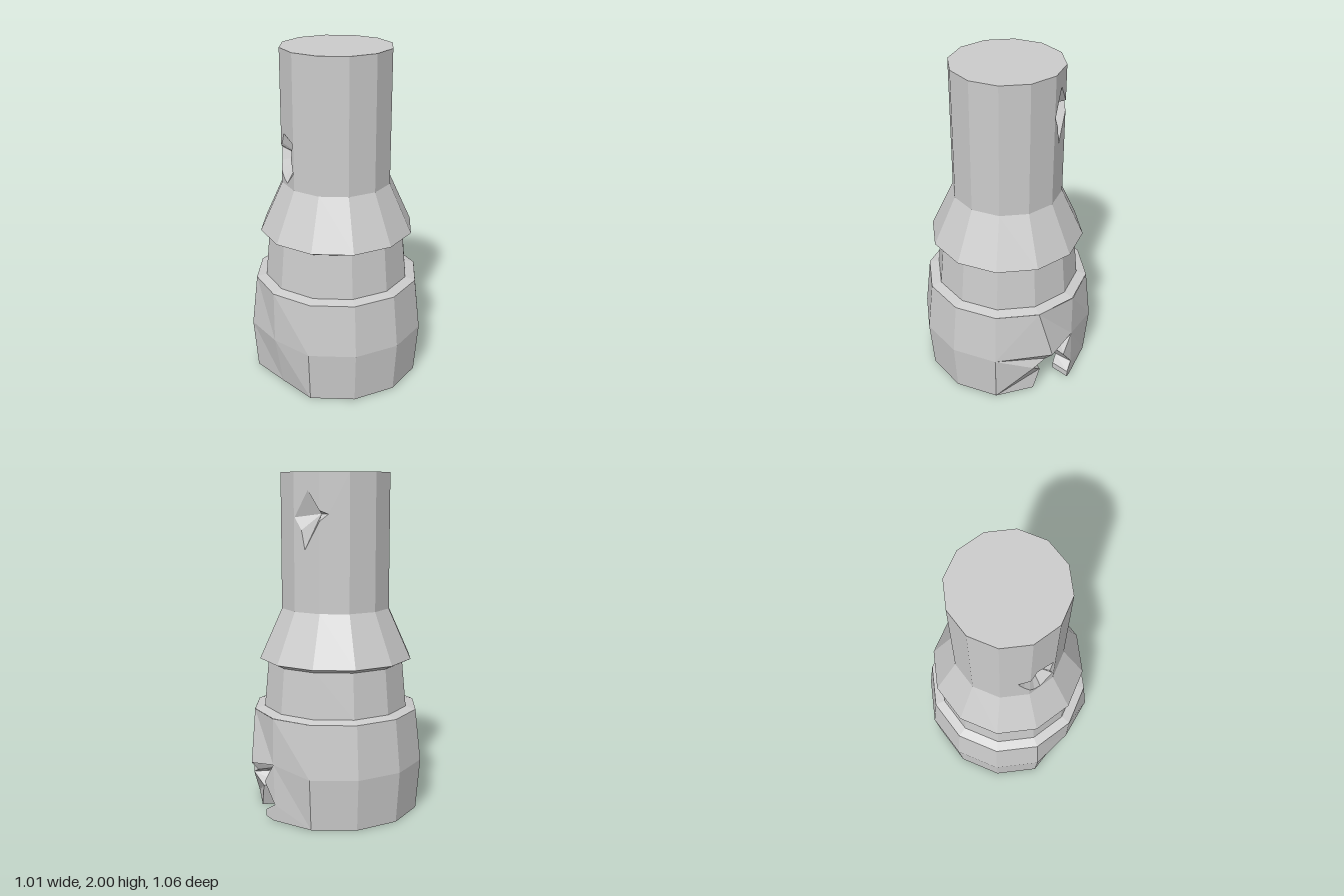
import * as THREE from 'three';

const SIDES = 12, STEP = Math.PI / 6;
const SHAFT_R = 0.325, SHAFT_Y0 = 1.215, SHAFT_Y1 = 2;
const WALL = 0.77; // inner / outer radius of the hollow collar

const mat = new THREE.MeshStandardMaterial({ color: 0xcccccc, flatShading: true, side: THREE.DoubleSide });

function add(group, name, geo) {
  const mesh = new THREE.Mesh(geo, mat);
  mesh.name = name;
  group.add(mesh);
  return mesh;
}

function fromTriangles(tris) {
  const geo = new THREE.BufferGeometry().setFromPoints(tris.flat());
  geo.computeVertexNormals();
  return geo;
}

function lathe(profile, segs = SIDES, start = 0, length = Math.PI * 2) {
  return new THREE.LatheGeometry(profile.map(p => new THREE.Vector2(...p)), segs, start, length);
}

// Point on the faceted shaft: u counts facets around the axis
function onShaft(u, y, scale = 1) {
  const k = Math.floor(u), f = u - k, r = SHAFT_R * scale;
  const a = k * STEP, b = (k + 1) * STEP;
  return new THREE.Vector3(
    r * THREE.MathUtils.lerp(Math.sin(a), Math.sin(b), f), y,
    r * THREE.MathUtils.lerp(Math.cos(a), Math.cos(b), f));
}

// One flat shaft facet, with its left or right edge cut away by a dent
function facet(k, leftCut = [], rightCut = []) {
  const outline = [[k, SHAFT_Y0], [k + 1, SHAFT_Y0], ...rightCut, [k + 1, SHAFT_Y1], [k, SHAFT_Y1], ...leftCut];
  const pts = outline.map(p => new THREE.Vector2(...p));
  return THREE.ShapeUtils.triangulateShape(pts, [])
    .map(t => t.map(i => onShaft(...outline[i])));
}

// Faceted hollow running from a rim loop to a deep point
function dent(loop, apex) {
  return loop.map((p, i) => [onShaft(...p), onShaft(...loop[(i + 1) % loop.length]), onShaft(...apex)]);
}

function buildShaft(group) {
  // Cuts are listed bottom to top for right edges, top to bottom for left ones
  const starMain = [[4, 1.73], [3.43, 1.57], [3.3, 1.68], [3.03, 1.75], [3.55, 1.9], [4, 1.79]];
  const starTip = [[4, 1.79], [4.3, 1.77], [4, 1.73]];
  const gashTip = [[8, 1.29], [7.8, 1.34], [7.6, 1.41], [8, 1.44]];
  const gashMain = [[8, 1.44], [8.1, 1.46], [8.25, 1.52], [8.92, 1.49], [8.8, 1.39],
    [8.95, 1.31], [8.45, 1.23], [8.2, 1.25], [8, 1.29]];
  const left = { 4: starTip, 8: gashMain }, right = { 3: starMain, 7: gashTip };
  const tris = [];
  for (let k = 0; k < SIDES; k++) tris.push(...facet(k, left[k], right[k]));
  add(group, 'shaft', fromTriangles(tris));

  add(group, 'starDent', fromTriangles(dent([...starMain, starTip[1]].reverse(), [3.93, 1.77, 0.78])));
  add(group, 'gashDent', fromTriangles(dent([...gashTip, ...gashMain.slice(1, -1)].reverse(), [8.4, 1.38, 0.7])));

  const cap = add(group, 'shaftTop', new THREE.CircleGeometry(SHAFT_R, SIDES));
  cap.rotation.x = -Math.PI / 2;
  cap.position.y = SHAFT_Y1;
}

// Torn section of the collar: outer skin, inner skin and broken edge
function buildTornWall(group) {
  const P = {
    t60: [0.248, 0.615, 0.429], t30: [0.429, 0.615, 0.248], t0: [0.497, 0.615, 0], tm: [0.429, 0.615, -0.248],
    a: [0.265, 0.305, 0.459], b: [0.5, 0.305, 0.2], c: [0.5, 0.34, 0], d: [0.459, 0.305, -0.265],
    e: [0.2525, 0, 0.437], em: [0.437, 0, -0.2525],
    n1: [0.39, 0, 0.24], n2: [0.41, 0.14, 0.2], n3: [0.42, 0.21, 0.28], n4: [0.45, 0.25, 0.2],
    f1: [0.5, 0.22, 0.08], f2: [0.5, 0.1, -0.01], f3: [0.515, 0.06, 0.05], f4: [0.515, 0.02, 0.05], f5: [0.5, 0, 0],
  };
  const faces = ['t60 a t30', 'a b t30', 't30 b c', 't30 c t0', 't0 c d', 't0 d tm',
    'a e n3', 'a n3 n4', 'a n4 b', 'e n1 n2', 'e n2 n3',
    'c f1 f2', 'c f2 em', 'c em d', 'f2 f5 em', 'f2 f3 f4', 'f2 f4 f5'];
  const edge = 'e n1 n2 n3 n4 b c f1 f2 f3 f4 f5 em'.split(' ');
  const outer = n => new THREE.Vector3(...P[n]);
  const inner = n => outer(n).multiply(new THREE.Vector3(WALL, 1, WALL));
  const tris = [];
  for (const f of faces) {
    const [i, j, k] = f.split(' ');
    tris.push([outer(i), outer(j), outer(k)], [inner(k), inner(j), inner(i)]);
  }
  for (let i = 0; i + 1 < edge.length; i++) {
    const p = edge[i], q = edge[i + 1];
    tris.push([outer(q), outer(p), inner(p)], [outer(q), inner(p), inner(q)]);
  }
  add(group, 'tornCollarWall', fromTriangles(tris));
}

function buildCollar(group) {
  const skin = [[0.505, 0], [0.53, 0.305], [0.495, 0.615]];
  const inside = skin.map(([r, y]) => [r * WALL, y]);
  const start = 4 * STEP, length = 9 * STEP;

  // Intact three quarters, with the corner on one side knocked flat
  const geo = lathe([inside[2], inside[1], inside[0], ...skin], 9, start, length);
  const pos = geo.attributes.position;
  for (let i = 0; i < pos.count; i++) {
    const y = pos.getY(i);
    if (Math.abs(pos.getZ(i)) < 0.01 && pos.getX(i) < -0.42) pos.setX(i, y < 0.1 ? -0.44 : -0.495);
  }
  geo.computeVertexNormals();
  add(group, 'collar', geo);

  const ceiling = add(group, 'cavityCeiling', new THREE.CircleGeometry(0.43, SIDES));
  ceiling.rotation.x = Math.PI / 2;
  ceiling.position.y = 0.612;
}

export function createModel() {
  const model = new THREE.Group();
  model.name = 'brokenSocketPost';
  const body = new THREE.Group();
  body.name = 'body';
  body.position.x = -0.01;
  model.add(body);

  buildShaft(body);
  // Flared skirt, undercut neck and collar shoulder
  add(body, 'flareAndNeck', lathe([[0.495, 0.615], [0.435, 0.63], [0.41, 0.895], [0.46, 0.92], [SHAFT_R, SHAFT_Y0]]));
  buildCollar(body);
  buildTornWall(body);
  return model;
}
